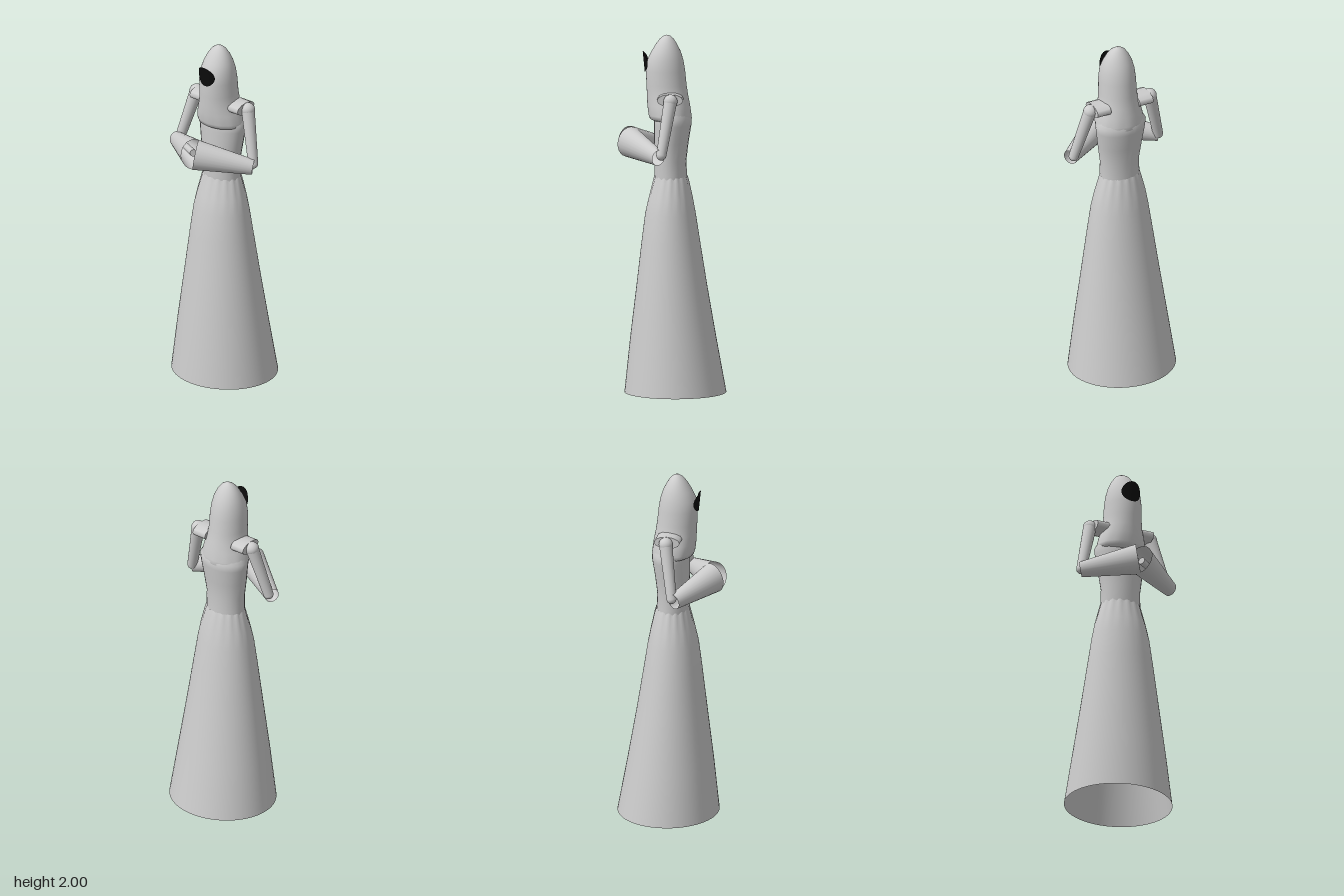
import * as THREE from 'three';

const cloth = new THREE.MeshStandardMaterial({ color: 0xcccccc, side: THREE.DoubleSide });
cloth.name = 'pale grey cloth';
const dark = new THREE.MeshStandardMaterial({ color: 0x0c0c0c, side: THREE.DoubleSide });
dark.name = 'black face';

// Smooth skin through oval rings [y, half width, back z, front z], bottom to top
function loft(rings, sides, fold = () => 0) {
  const pos = [], index = [];
  rings.forEach(([y, rx, back, front], i) => {
    for (let j = 0; j < sides; j++) {
      const a = (j / sides) * Math.PI * 2;
      const k = 1 + fold(i, j);
      pos.push(rx * k * Math.sin(a), y, (front + back) / 2 + ((front - back) / 2) * k * Math.cos(a));
      if (i === 0) continue;
      const n = (j + 1) % sides, lo = (i - 1) * sides, hi = i * sides;
      index.push(lo + j, lo + n, hi + n, lo + j, hi + n, hi + j);
    }
  });
  const g = new THREE.BufferGeometry();
  g.setAttribute('position', new THREE.Float32BufferAttribute(pos, 3));
  g.setIndex(index);
  g.computeVertexNormals();
  return g;
}

function add(parent, name, geometry, material = cloth) {
  const mesh = new THREE.Mesh(geometry, material);
  mesh.name = name;
  parent.add(mesh);
  return mesh;
}

// Tapered tube from a to b; the oval factor stretches its height
function limb(parent, name, a, b, ra, rb, oval = 1, open = false) {
  const from = new THREE.Vector3(...a), to = new THREE.Vector3(...b);
  const g = new THREE.CylinderGeometry(rb, ra, from.distanceTo(to), 24, 1, open);
  g.rotateX(Math.PI / 2);
  g.scale(1, oval, 1);
  const mesh = add(parent, name, g);
  mesh.position.copy(from).add(to).multiplyScalar(0.5);
  mesh.lookAt(to);
  return mesh;
}

function makeArm(side) {
  const arm = new THREE.Group();
  arm.name = side > 0 ? 'leftArm' : 'rightArm';
  const at = (x, y, z) => [side * x, y, z];

  // Flattened shoulder piece
  const pad = new THREE.CylinderGeometry(1, 1, 0.085, 12);
  pad.rotateZ(Math.PI / 2);
  pad.scale(1, 0.035, 0.073);
  add(arm, 'shoulder', pad).position.set(side * 0.1325, 1.655, 0.005);

  // Upper arm with rounded joints
  const top = at(0.188, 1.652, 0.002), elbow = at(0.266, 1.36, 0.05);
  add(arm, 'shoulderJoint', new THREE.SphereGeometry(0.039, 20, 14)).position.set(...top);
  limb(arm, 'upperArm', top, elbow, 0.037, 0.028);
  add(arm, 'elbow', new THREE.SphereGeometry(0.028, 16, 10)).position.set(...elbow);

  // Wide open sleeve and the hand inside it
  limb(arm, 'sleeve', at(0.28, 1.348, 0.065), at(0.005, 1.4, 0.235), 0.039, 0.077, 1.13, true);
  limb(arm, 'hand', at(0.2, 1.37, 0.115), at(0.02, 1.4, 0.225), 0.018, 0.02);
  return arm;
}

export function createModel() {
  const model = new THREE.Group();
  model.name = 'robedFigure';

  // Long skirt, gathered at the waist and open at the hem
  const pleat = [0, 0, 0, 0, 0, 0.006, 0.022, 0.03];
  add(model, 'skirt', loft([
    [0, 0.306, -0.302, 0.264], [0.3, 0.265, -0.247, 0.233], [0.6, 0.222, -0.195, 0.197],
    [0.85, 0.187, -0.155, 0.168], [1.0, 0.165, -0.132, 0.149], [1.09, 0.147, -0.115, 0.128],
    [1.18, 0.122, -0.094, 0.104], [1.21, 0.113, -0.085, 0.096],
  ], 64, (i, j) => pleat[i] * Math.cos((j / 64) * Math.PI * 2 * 16)));

  // Fitted bodice
  add(model, 'bodice', loft([
    [1.16, 0.112, -0.08, 0.092], [1.22, 0.116, -0.083, 0.098], [1.3, 0.115, -0.08, 0.097],
    [1.4, 0.13, -0.092, 0.1], [1.5, 0.144, -0.108, 0.1], [1.54, 0.15, -0.109, 0.1],
    [1.58, 0.128, -0.09, 0.09], [1.64, 0.1, -0.06, 0.08],
  ], 24));

  // Veil over head and shoulders with a rippled lower edge
  const ripple = [0.012, 0.012, 0.006, 0.002];
  add(model, 'veil', loft([
    [1.517, 0.118, -0.1, 0.088], [1.532, 0.14, -0.109, 0.122], [1.555, 0.142, -0.107, 0.13],
    [1.61, 0.129, -0.1, 0.137], [1.66, 0.113, -0.09, 0.139], [1.72, 0.106, -0.081, 0.142],
    [1.8, 0.104, -0.073, 0.145], [1.86, 0.097, -0.063, 0.137], [1.91, 0.083, -0.047, 0.113],
    [1.95, 0.064, -0.027, 0.089], [1.98, 0.042, -0.007, 0.066], [1.995, 0.02, 0.011, 0.045],
    [2.0, 0.0005, 0.028, 0.029],
  ], 48, (i, j) => (ripple[i] || 0) * Math.cos((j / 48) * Math.PI * 2 * 12)));

  // Dark face disc, bowed around the front of the veil
  const face = new THREE.RingGeometry(0, 0.058, 32, 6);
  const p = face.attributes.position;
  for (let i = 0; i < p.count; i++) {
    p.setZ(i, 0.157 + 0.1 * p.getY(i) - 7 * p.getX(i) ** 2);
  }
  face.computeVertexNormals();
  add(model, 'face', face, dark).position.y = 1.85;

  for (const side of [1, -1]) model.add(makeArm(side));
  return model;
}
